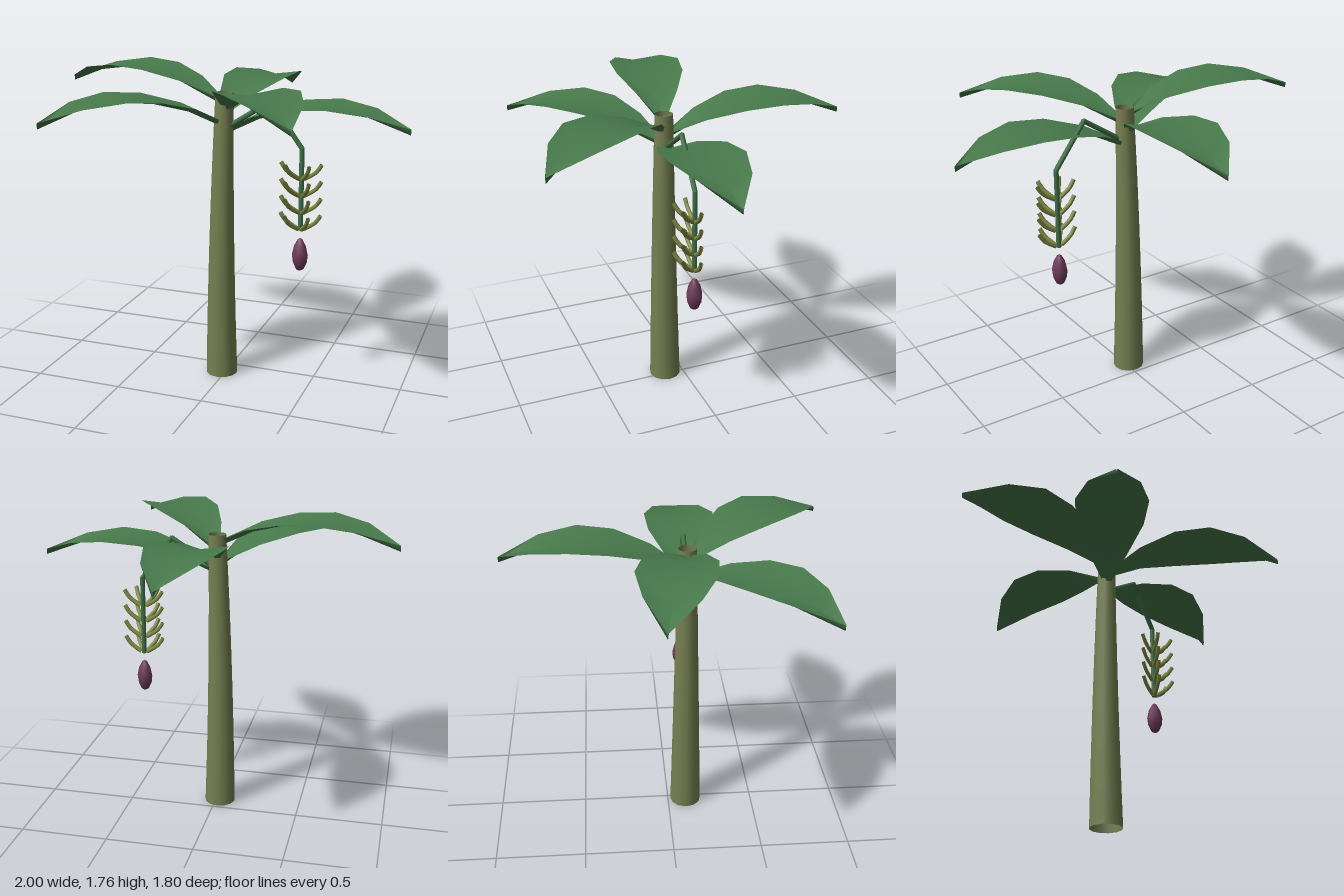
import * as THREE from 'three';

const material = (name, color, side = THREE.FrontSide) => {
  const m = new THREE.MeshStandardMaterial({ color, side });
  m.name = name;
  return m;
};

const X = -0.0075, Z = 0.105; // crown centre
const STEM_X = 0.432;         // hanging stem

function named(name, geometry, mat) {
  const mesh = new THREE.Mesh(geometry, mat);
  mesh.name = name;
  return mesh;
}

// Open tapered trunk, bowed slightly sideways
function trunkGeometry() {
  const H = 1.63;
  const g = new THREE.CylinderGeometry(0.05, 0.09, H, 12, 8, true);
  g.translate(0, H / 2, 0);
  const p = g.attributes.position;
  for (let i = 0; i < p.count; i++) {
    const t = p.getY(i) / H;
    p.setX(i, p.getX(i) - 0.023 - 0.014 * t + 0.034 * t * t);
  }
  return g;
}

// Arched leaf along +x: each row is edge, midrib, edge, with raised edges
function leafGeometry() {
  const length = 1.0075, lift = 0.03;
  const half = [0.01, 0.115, 0.187, 0.2, 0.137, 0.002];
  const arch = [0, 0.1, 0.155, 0.17, 0.14, 0.065];
  const pos = [], index = [];
  half.forEach((w, i) => {
    const x = (length * i) / (half.length - 1);
    pos.push(x, arch[i] + lift, -w, x, arch[i], 0, x, arch[i] + lift, w);
    if (i === half.length - 1) return;
    for (let k = 0; k < 2; k++) {
      const a = i * 3 + k;
      index.push(a, a + 1, a + 3, a + 1, a + 4, a + 3);
    }
  });
  const g = new THREE.BufferGeometry();
  g.setAttribute('position', new THREE.Float32BufferAttribute(pos, 3));
  g.setIndex(index);
  g.computeVertexNormals();
  return g;
}

// Straight rod between two points
function rod(name, a, b, r, mat) {
  const dir = b.clone().sub(a);
  const mesh = named(name, new THREE.CylinderGeometry(r, r, dir.length() + r * 0.6, 8), mat);
  mesh.position.copy(a).add(b).multiplyScalar(0.5);
  mesh.quaternion.setFromUnitVectors(new THREE.Vector3(0, 1, 0), dir.normalize());
  return mesh;
}

export function createModel() {
  const bark = material('bark', 0x757f50, THREE.DoubleSide);
  const leafGreen = material('leafGreen', 0x487a4c, THREE.DoubleSide);
  const stemGreen = material('stemGreen', 0x3f7047);
  const fruitOlive = material('fruitOlive', 0x808a42, THREE.DoubleSide);
  const budPurple = material('budPurple', 0x6e3c5a);

  const model = new THREE.Group();
  model.name = 'plant';

  const trunk = named('trunk', trunkGeometry(), bark);
  trunk.position.z = Z;
  model.add(trunk);

  // Leaves spiral up by the golden angle
  const leafGeo = leafGeometry();
  for (let i = 0; i < 5; i++) {
    const leaf = named('leaf', leafGeo, leafGreen);
    leaf.position.set(X, 1.4 + 0.04 * i, Z);
    leaf.rotation.y = -THREE.MathUtils.degToRad(137.5 * i);
    model.add(leaf);
  }

  // Arching stalk that hangs straight down
  const path = [[0, 1.435], [0.255, 1.597], [STEM_X, 1.355], [STEM_X, 0.91]]
    .map(([x, y]) => new THREE.Vector3(x, y, Z));
  for (let i = 0; i < 3; i++) model.add(rod('stalk', path[i], path[i + 1], 0.014, stemGreen));

  // Four tiers of upturned fruit fanned over the front half
  const fruitCurve = new THREE.CatmullRomCurve3([
    new THREE.Vector3(0.018, 0, 0), new THREE.Vector3(0.045, 0.016, 0),
    new THREE.Vector3(0.085, 0.045, 0), new THREE.Vector3(0.112, 0.085, 0),
  ]);
  const fruitGeo = new THREE.TubeGeometry(fruitCurve, 5, 0.012, 6);
  const bunch = new THREE.Group();
  bunch.name = 'fruitBunch';
  for (let tier = 0; tier < 4; tier++) {
    for (const deg of [5, 54, 126, 175]) {
      const fruit = named('fruit', fruitGeo, fruitOlive);
      fruit.position.set(STEM_X, 1.193 - 0.093 * tier, Z);
      fruit.rotation.y = -THREE.MathUtils.degToRad(deg);
      bunch.add(fruit);
    }
  }
  model.add(bunch);

  // Flower bud below the bunch
  const profile = [[0, 0.672], [0.022, 0.685], [0.04, 0.725], [0.045, 0.765], [0.034, 0.815], [0.014, 0.852], [0, 0.862]]
    .map(([r, y]) => new THREE.Vector2(r, y));
  const bud = named('flowerBud', new THREE.LatheGeometry(profile, 8), budPurple);
  bud.position.set(STEM_X, 0, Z);
  model.add(bud);

  return model;
}
